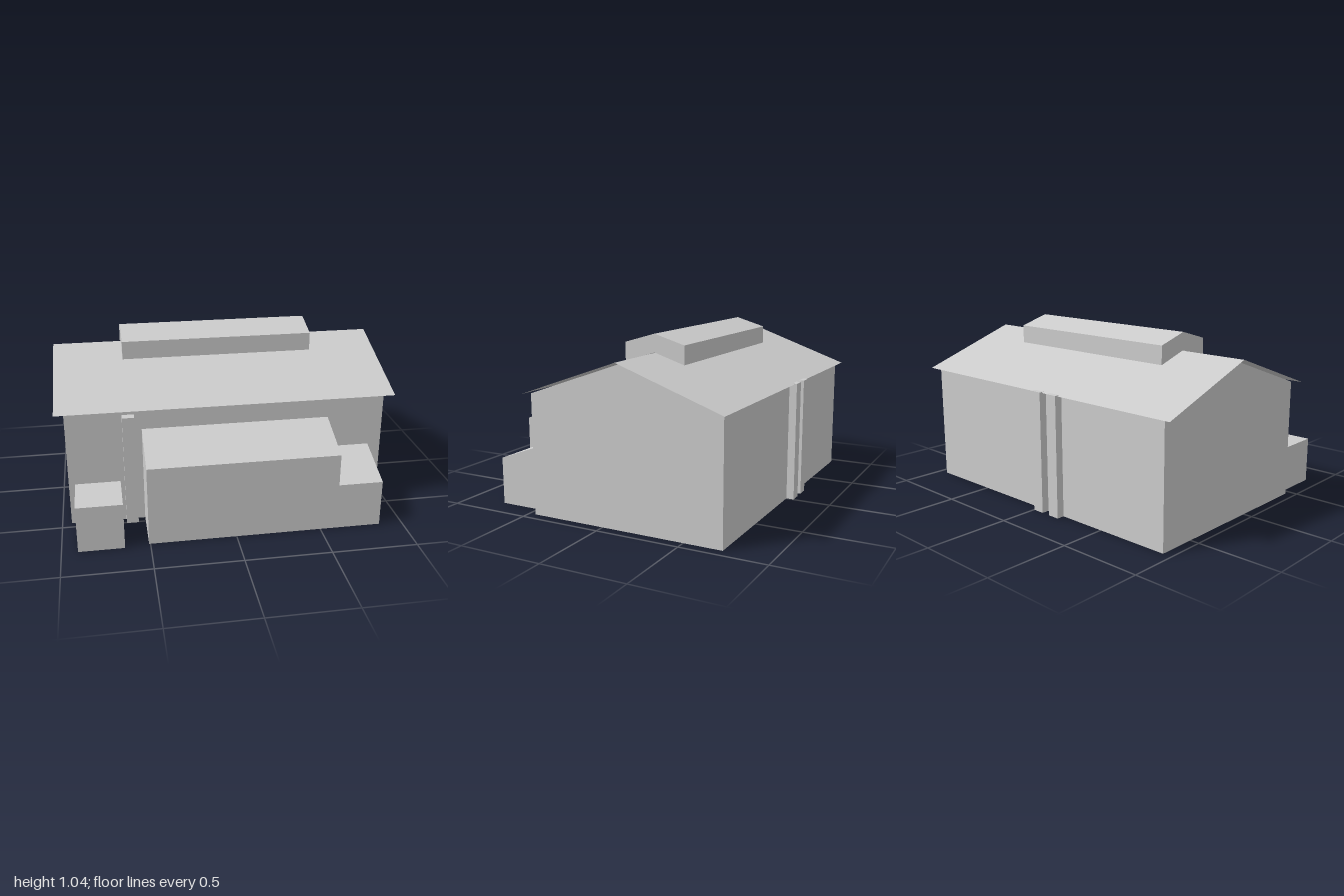
import * as THREE from 'three';

const lightGrey = new THREE.MeshStandardMaterial({ color: 0xcccccc, side: THREE.DoubleSide, flatShading: true });
lightGrey.name = 'lightGrey';

// Hollow part swept along x: the [z, y] strip becomes the skin,
// and the strip plus any extra points closes both ends.
function shell(name, x0, x1, strip, extra = [], capped = true) {
  const pos = [];
  const add = (x, [z, y]) => pos.push(x, y, z);
  for (let i = 0; i < strip.length - 1; i++) {
    const a = strip[i], b = strip[i + 1];
    add(x0, a); add(x1, a); add(x1, b);
    add(x0, a); add(x1, b); add(x0, b);
  }
  if (capped) {
    const outline = [...strip, ...extra];
    const tris = THREE.ShapeUtils.triangulateShape(outline.map(([z, y]) => new THREE.Vector2(z, y)), []);
    for (const [a, b, c] of tris) {
      for (const i of [a, b, c]) add(x0, outline[i]);
      for (const i of [a, c, b]) add(x1, outline[i]);
    }
  }
  const geo = new THREE.BufferGeometry();
  geo.setAttribute('position', new THREE.Float32BufferAttribute(pos, 3));
  geo.computeVertexNormals();
  const mesh = new THREE.Mesh(geo, lightGrey);
  mesh.name = name;
  return mesh;
}

// Box without a floor
const openBox = (name, x0, x1, h, zFront, zBack) =>
  shell(name, x0, x1, [[zFront, 0], [zFront, h], [zBack, h], [zBack, 0]]);

// Lean-to, open at the floor and towards the house
const leanTo = (name, x0, x1, low, high) =>
  shell(name, x0, x1, [[0.752, 0], [0.752, low], [0.43, high]], [[0.43, 0]]);

export function createModel() {
  const g = new THREE.Group();
  g.name = 'barn';
  const ridge = -0.135;

  // Main hall with gable ends
  g.add(shell('hallWalls', -0.945, 0.94,
    [[0.457, 0], [0.457, 0.711], [ridge, 0.92], [-0.727, 0.711], [-0.727, 0]]));

  // Thin overhanging roof
  g.add(shell('roof', -1, 1, [[0.487, 0.712], [ridge, 0.932], [-0.757, 0.712]], [], false));

  // Raised ridge vent
  g.add(shell('ridgeVent', -0.585, 0.583,
    [[0.053, 0.875], [0.053, 0.985], [ridge, 1.04], [-0.323, 0.985], [-0.323, 0.875]],
    [[ridge, 0.935]]));

  // Front lean-tos
  g.add(leanTo('largeLeanTo', -0.508, 0.6, 0.475, 0.597));
  g.add(leanTo('smallLeanTo', 0.6, 0.862, 0.282, 0.401));

  // Free-standing storage box
  g.add(openBox('storageBox', -0.908, -0.645, 0.28, 0.772, 0.495));

  // Wall ducts, one at the front and two at the back
  g.add(openBox('frontDuct', -0.62, -0.55, 0.682, 0.507, 0.44));
  for (const x of [-0.203, -0.075]) g.add(openBox('backDuct', x, x + 0.073, 0.717, -0.708, -0.773));

  return g;
}
